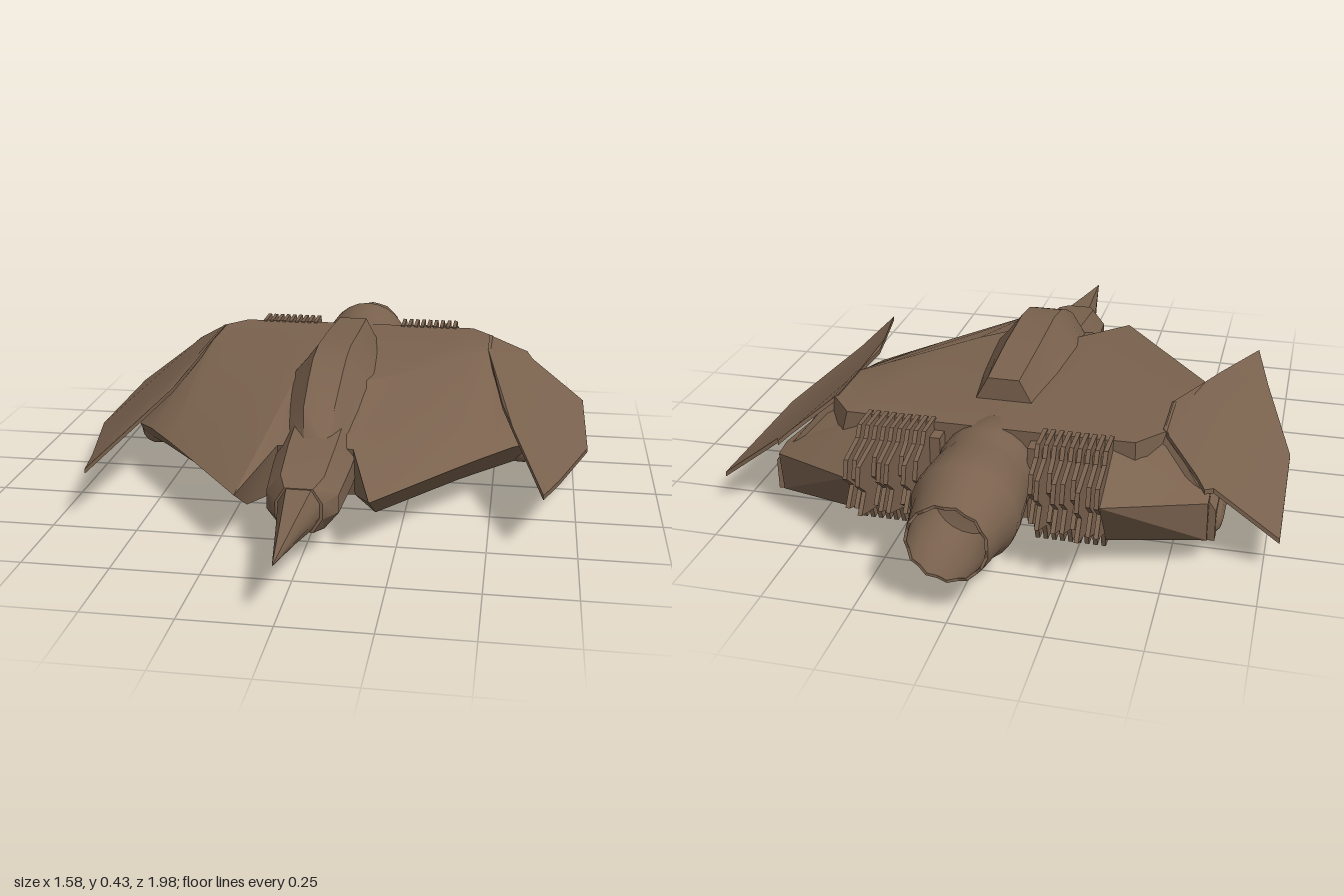
import * as THREE from 'three';
import { toCreasedNormals } from 'three/addons/utils/BufferGeometryUtils.js';

const brown = new THREE.MeshStandardMaterial({ color: 0x7a624e });
brown.name = 'brown hull';

function add(parent, name, geometry, crease = 0.5) {
  const mesh = new THREE.Mesh(toCreasedNormals(geometry, crease), brown);
  mesh.name = name;
  parent.add(mesh);
}

// Closed skin through rings of [x, y, z] points, turned outward by its signed volume
function loft(rings) {
  const n = rings[0].length, tris = [];
  for (let i = 0; i < rings.length - 1; i++) {
    for (let j = 0; j < n; j++) {
      const k = (j + 1) % n;
      const a = rings[i][j], b = rings[i][k], c = rings[i + 1][k], d = rings[i + 1][j];
      tris.push([a, b, c], [a, c, d]);
    }
  }
  const last = rings[rings.length - 1];
  for (let j = 1; j < n - 1; j++) {
    tris.push([rings[0][0], rings[0][j + 1], rings[0][j]], [last[0], last[j], last[j + 1]]);
  }
  let volume = 0;
  const v = (p) => new THREE.Vector3(...p);
  for (const [a, b, c] of tris) volume += v(a).dot(v(b).cross(v(c)));
  const out = tris.flatMap(([a, b, c]) => (volume < 0 ? [...a, ...c, ...b] : [...a, ...b, ...c]));
  const g = new THREE.BufferGeometry();
  g.setAttribute('position', new THREE.Float32BufferAttribute(out, 3));
  g.computeVertexNormals();
  return g;
}

// Thin sheet from a plan outline of [x, z], bent to a height rule
function sheet(outline, thickness, height) {
  const shape = new THREE.Shape(outline.map(([x, z]) => new THREE.Vector2(x, -z)));
  const g = new THREE.ExtrudeGeometry(shape, { depth: thickness, bevelEnabled: false });
  g.rotateX(-Math.PI / 2);
  const p = g.attributes.position;
  for (let i = 0; i < p.count; i++) p.setY(i, p.getY(i) + height(Math.abs(p.getX(i)), p.getZ(i)));
  g.computeVertexNormals();
  return g;
}

// Eight-sided ring at one z
function octagon(z, halfWidth, bottom, top) {
  const cy = (bottom + top) / 2, h = (top - bottom) / 2;
  return [[1, 0.35], [0.6, 1], [-0.6, 1], [-1, 0.35], [-1, -0.35], [-0.6, -1], [0.6, -1], [1, -0.35]]
    .map(([x, y]) => [x * halfWidth, cy + y * h, z]);
}

export function createModel() {
  const ship = new THREE.Group();
  ship.name = 'spacecraft';

  // Hull with an undercut bow: [x, front edge z, front edge y, crest z, crest y, rear z, belly front z]
  const half = [
    [0, 0.38, 0.24, 0.1, 0.345, -0.59, 0.34],
    [0.11, 0.37, 0.235, 0.07, 0.345, -0.59, 0.33],
    [0.185, 0.61, 0.175, 0, 0.345, -0.59, 0.45],
    [0.4, 0.326, 0.177, -0.25, 0.345, -0.585, 0.17],
    [0.47, 0.235, 0.177, -0.33, 0.345, -0.5, 0.09],
    [0.56, 0.12, 0.175, -0.16, 0.24, -0.57, -0.01],
    [0.62, 0.04, 0.16, -0.05, 0.17, -0.59, -0.04],
  ];
  const stations = [...half.slice(1).reverse().map(([x, ...r]) => [-x, ...r]), ...half];
  add(ship, 'hull', loft(stations.map(([x, ez, ey, cz, cy, rz, bz]) => [
    [x, 0.08, bz], [x, ey, ez], [x, cy, cz], [x, cy, rz], [x, 0.08, -0.59],
  ])), 0.45);

  // Nose housing and spike
  add(ship, 'noseHousing', loft([
    octagon(0.3, 0.115, 0.08, 0.28),
    octagon(0.42, 0.112, 0.08, 0.262),
    octagon(0.58, 0.1, 0.08, 0.232),
    octagon(0.64, 0.065, 0.092, 0.218),
  ]), 0.6);
  add(ship, 'noseSpike', loft([
    octagon(0.62, 0.06, 0.095, 0.218),
    octagon(0.8, 0.031, 0.13, 0.193),
    octagon(1, 0.001, 0.164, 0.166),
  ]), 0.9);

  // Canopy spine with flared skirts: [z, half base, half shoulder, half top, base y, top y]
  add(ship, 'canopySpine', loft([
    [0.39, 0.06, 0.05, 0.03, 0.22, 0.262], [0.3, 0.095, 0.07, 0.045, 0.25, 0.33],
    [0.2, 0.115, 0.08, 0.048, 0.28, 0.38], [0.1, 0.13, 0.09, 0.05, 0.31, 0.42],
    [0, 0.135, 0.09, 0.05, 0.33, 0.434], [-0.2, 0.115, 0.08, 0.05, 0.335, 0.425],
    [-0.42, 0.085, 0.065, 0.045, 0.335, 0.41],
  ].map(([z, b, m, t, y0, y1]) => {
    const ym = y0 + (y1 - y0) * 0.5;
    return [[b, y0, z], [m, ym, z], [t, y1, z], [-t, y1, z], [-m, ym, z], [-b, y0, z]];
  })), 0.8);

  // Engine with a hollow nozzle and a ragged rim
  const profile = [
    [0.001, 0.46], [0.1, 0.48], [0.13, 0.52], [0.137, 0.62], [0.132, 0.66], [0.137, 0.7],
    [0.145, 0.79], [0.143, 0.83], [0.125, 0.88], [0.108, 0.975], [0.1, 0.975],
    [0.112, 0.87], [0.1, 0.76], [0.001, 0.74],
  ].map(([r, y]) => new THREE.Vector2(r, y));
  const engine = new THREE.LatheGeometry(profile, 24);
  const ep = engine.attributes.position;
  for (let i = 0; i < ep.count; i++) {
    const angle = Math.atan2(ep.getZ(i), ep.getX(i));
    if (ep.getY(i) > 0.97) ep.setY(i, 0.979 + 0.005 * Math.cos(angle * 12));
  }
  engine.rotateX(-Math.PI / 2);
  engine.translate(0, 0.217, 0);
  engine.computeVertexNormals();
  add(ship, 'engine', engine, 0.7);

  for (const s of [1, -1]) {
    const side = new THREE.Group();
    side.name = s > 0 ? 'leftSide' : 'rightSide';
    ship.add(side);

    // Drooping wing panel whose forward prong lies at a shallower, lower slope
    const outline = [
      [0.46, -0.33], [0.52, 0], [0.555, 0.14], [0.648, 0.49], [0.695, 0.29], [0.79, -0.1],
      [0.79, -0.58], [0.61, -0.595], [0.59, -0.635], [0.565, -0.6], [0.46, -0.495],
    ].map(([x, z]) => [s * x, z]);
    add(side, 'wingPanel', sheet(outline, 0.014, (x, z) => (z > -0.05
      ? 0.255 - (x - 0.52) * 0.72
      : 0.335 - Math.max(0, x - 0.47) * 0.77)), 0.7);

    // Swept, undercut tail block beside the exhaust: [x, top z, top y, bottom z]
    const tail = [
      [0.34, -0.55, 0.33, -0.55], [0.47, -0.49, 0.325, -0.49], [0.6, -0.56, 0.215, -0.56],
      [0.6, -0.615, 0.205, -0.6], [0.34, -0.77, 0.245, -0.66],
    ];
    add(side, 'tailBlock', loft([
      tail.map(([x, , , z]) => [s * x, 0.085, z]),
      tail.map(([x, z, y]) => [s * x, y, z]),
    ]), 0.3);

    // Rounded pod along the lower hull edge
    const pod = new THREE.CapsuleGeometry(0.052, 0.5, 6, 14);
    pod.rotateX(Math.PI / 2);
    pod.translate(s * 0.585, 0.122, -0.29);
    add(side, 'edgePod', pod, 0.8);

    // Slanted landing fin: [z, inner edge x, inner edge y]
    const fin = [[-0.08, 0.5, 0.03], [-0.2, 0.465, 0.008], [-0.42, 0.455, 0]];
    add(side, 'landingFin', loft(fin.map(([z, x, y]) => [
      [s * 0.6, 0.088, z], [s * 0.575, 0.06, z], [s * x, y, z], [s * (x - 0.015), y + 0.022, z],
    ])), 0.4);

    // Belly rail
    const rail = new THREE.BoxGeometry(0.035, 0.025, 0.26);
    rail.translate(s * 0.23, 0.073, -0.3);
    add(side, 'bellyRail', rail);

    // Bent radiator ribs between engine and tail block
    for (let i = 0; i < 9; i++) {
      const reach = 0.03 * Math.sin(i * 2.3) + 0.006 * (i - 4);
      const ribOutline = [
        [0.57, 0.35], [0.66, 0.35], [0.68, 0.32], [0.76 + reach, 0.3], [0.775 + reach, 0.25],
        [0.73 + reach, 0.21], [0.77 + reach, 0.16], [0.68, 0.12], [0.66, 0.066], [0.5, 0.066],
        [0.5, 0.1], [0.57, 0.1],
      ];
      const shape = new THREE.Shape(ribOutline.map(([z, y]) => new THREE.Vector2(z, y)));
      const rib = new THREE.ExtrudeGeometry(shape, { depth: 0.012, bevelEnabled: false });
      rib.rotateY(Math.PI / 2);
      rib.translate(s * (0.155 + i * 0.0225) - 0.006, 0, 0);
      add(side, 'radiatorRib', rib, 0.3);
    }

    // Mount behind the ribs
    const mount = new THREE.BoxGeometry(0.22, 0.22, 0.07);
    mount.translate(s * 0.23, 0.21, -0.6);
    add(side, 'ribMount', mount);
  }
  return ship;
}
